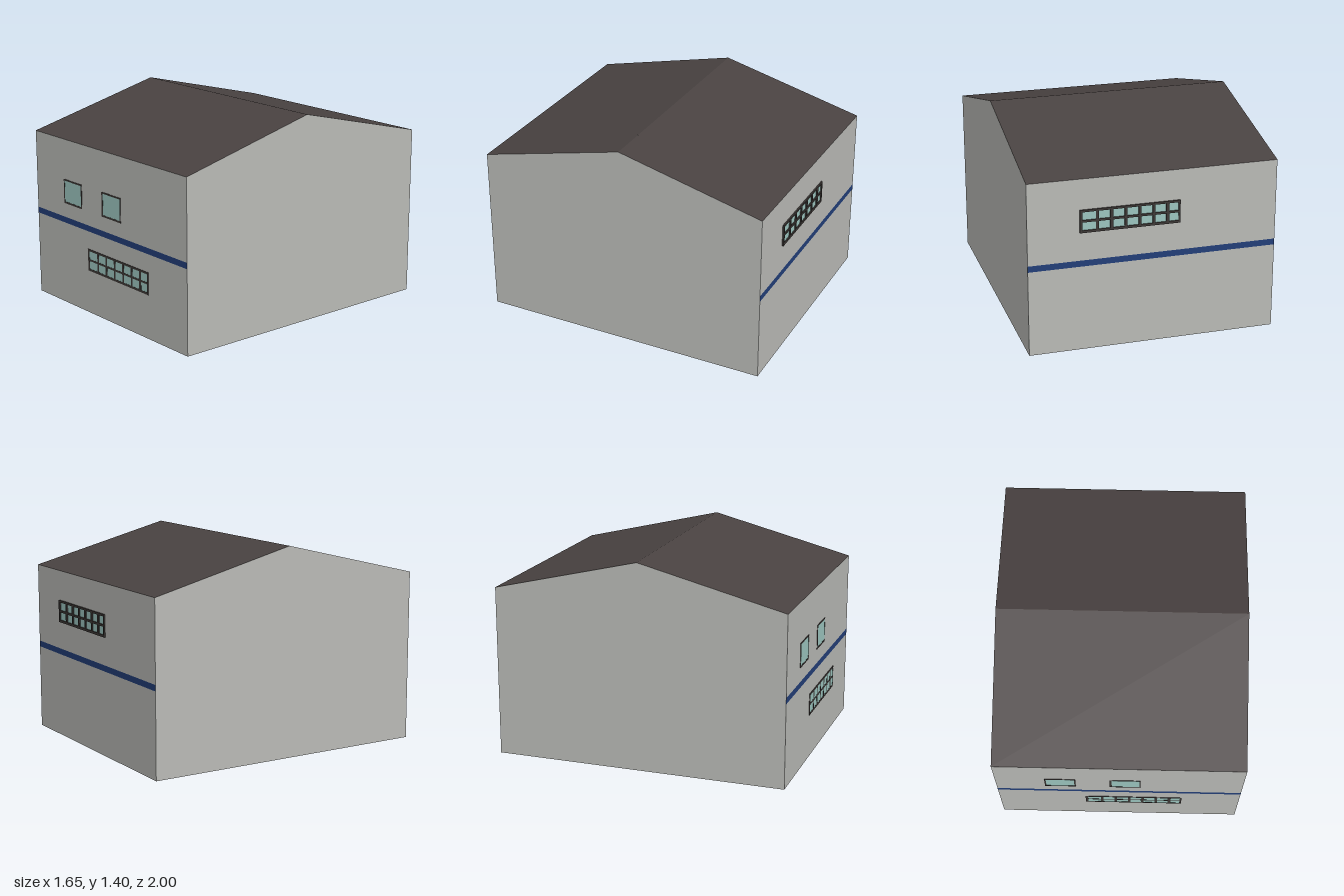
import * as THREE from 'three';

const mat = (name, color, side = THREE.FrontSide) =>
  Object.assign(new THREE.MeshStandardMaterial({ color, side }), { name });

const HALF_W = 0.824, EAVE = 1.157, RIDGE = 1.403;
const FRONT = 0.997, BACK = -0.99, MID = (FRONT + BACK) / 2;
const STRIPE_LOW = 0.573, STRIPE_HIGH = 0.614;

export function createModel() {
  const wall = mat('wallGrey', 0xb9bab6, THREE.DoubleSide);
  const roofMat = mat('roofBrown', 0x494241, THREE.DoubleSide);
  const blue = mat('stripeBlue', 0x223e78, THREE.DoubleSide);
  const frameMat = mat('frameDark', 0x3d3836);
  const glassMat = mat('glassTeal', 0x9cc5bf);

  const model = new THREE.Group();
  model.name = 'house';
  const add = (parent, name, geometry, material) => {
    const mesh = new THREE.Mesh(geometry, material);
    mesh.name = name;
    parent.add(mesh);
    return mesh;
  };

  // Long walls: grey bands with a blue stripe between them
  for (const [side, z, turn] of [['front', FRONT, 0], ['back', BACK, Math.PI]]) {
    const bands = [
      ['LowerWall', 0, STRIPE_LOW, wall],
      ['Stripe', STRIPE_LOW, STRIPE_HIGH, blue],
      ['UpperWall', STRIPE_HIGH, EAVE, wall],
    ];
    for (const [part, y0, y1, material] of bands) {
      const band = add(model, side + part, new THREE.PlaneGeometry(HALF_W * 2, y1 - y0), material);
      band.position.set(0, (y0 + y1) / 2, z);
      band.rotation.y = turn;
    }
  }

  // Gable walls: shape x runs along -z after the turn
  const gable = new THREE.Shape([
    [-FRONT, 0], [-BACK, 0], [-BACK, EAVE], [-MID, RIDGE], [-FRONT, EAVE],
  ].map(([x, y]) => new THREE.Vector2(x, y)));
  const left = add(model, 'leftGable', new THREE.ShapeGeometry(gable), wall);
  left.rotation.y = Math.PI / 2;
  left.position.x = HALF_W;
  const mirrored = new THREE.Shape(gable.getPoints().map((p) => new THREE.Vector2(-p.x, p.y)));
  const right = add(model, 'rightGable', new THREE.ShapeGeometry(mirrored), wall);
  right.rotation.y = -Math.PI / 2;
  right.position.x = -HALF_W;

  // Roof slopes
  const run = (FRONT - BACK) / 2, rise = RIDGE - EAVE;
  for (const [name, dir] of [['frontRoof', 1], ['backRoof', -1]]) {
    const slope = new THREE.PlaneGeometry(HALF_W * 2, Math.hypot(run, rise));
    slope.rotateX(-Math.PI / 2 + Math.atan2(rise, run));
    if (dir < 0) slope.rotateY(Math.PI);
    add(model, name, slope, roofMat).position.set(0, (EAVE + RIDGE) / 2, MID + dir * run / 2);
  }

  // Window set through the wall; z = 0 is the wall plane, panes are [x0, x1, y0, y1]
  const makeWindow = (name, w, h, panes, proud) => {
    const group = new THREE.Group();
    group.name = name;
    const rect = (Type, x0, x1, y0, y1) => new Type([
      [x0, y0], [x1, y0], [x1, y1], [x0, y1],
    ].map(([x, y]) => new THREE.Vector2(x, y)));
    const shape = rect(THREE.Shape, 0, w, 0, h);
    for (const p of panes) shape.holes.push(rect(THREE.Path, ...p));
    const frame = new THREE.ExtrudeGeometry(shape, { depth: 0.02 + proud, bevelEnabled: false });
    add(group, 'windowFrame', frame.translate(0, 0, -0.02), frameMat);
    const glass = new THREE.BoxGeometry(w - 0.01, h - 0.01, 0.004);
    add(group, 'windowGlass', glass, glassMat).position.set(w / 2, h / 2, 0);
    model.add(group);
    return group;
  };

  // Two square front windows
  makeWindow('rightSquareWindow', 0.206, 0.168, [[0.01, 0.197, 0.013, 0.158]], 0.003)
    .position.set(-0.496, 0.712, FRONT);
  makeWindow('leftSquareWindow', 0.206, 0.168, [[0.014, 0.199, 0.013, 0.158]], 0.003)
    .position.set(-0.063, 0.712, FRONT);

  // Long windows: seven columns by two rows of panes
  const columns = [[0.017, 0.105], [0.123, 0.198], [0.216, 0.291], [0.308, 0.383],
    [0.401, 0.476], [0.493, 0.565], [0.586, 0.648]];
  const panes = [];
  for (const [x0, x1] of columns) {
    panes.push([x0, x1, 0.016, 0.07], [x0, x1, 0.084, 0.138]);
  }
  makeWindow('frontLongWindow', 0.66, 0.152, panes, 0.003).position.set(-0.231, 0.299, FRONT);
  const rear = makeWindow('backLongWindow', 0.66, 0.152, panes, 0.01);
  rear.position.set(0.488, 0.802, BACK);
  rear.rotation.y = Math.PI;

  return model;
}
